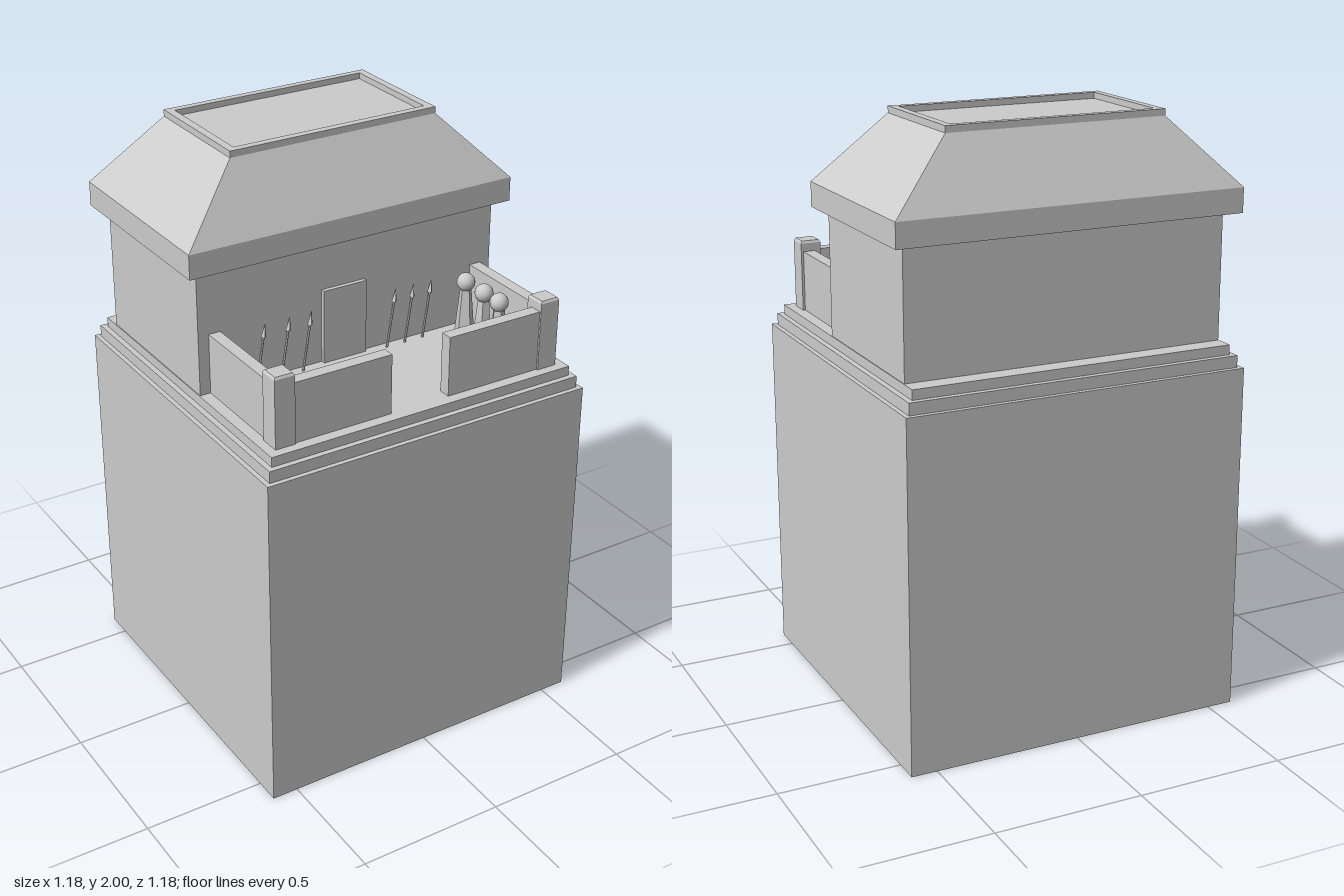
import * as THREE from 'three';

const material = new THREE.MeshStandardMaterial({ color: 0xcccccc, flatShading: true });
const shellMaterial = new THREE.MeshStandardMaterial({ color: 0xcccccc, flatShading: true, side: THREE.DoubleSide });

function add(parent, name, geometry, mat = material) {
  const mesh = new THREE.Mesh(geometry, mat);
  mesh.name = name;
  parent.add(mesh);
  return mesh;
}

// Box given by its limits on each axis
function box(parent, name, x0, x1, y0, y1, z0, z1) {
  const g = new THREE.BoxGeometry(x1 - x0, y1 - y0, z1 - z0);
  g.translate((x0 + x1) / 2, (y0 + y1) / 2, (z0 + z1) / 2);
  return add(parent, name, g);
}

// Skin over rectangular rings [y, x0, x1, z0, z1], closed at the last ring and optionally at the first
function rectLoft(rings, closeStart = true) {
  const pos = [], index = [];
  for (const [y, x0, x1, z0, z1] of rings) {
    pos.push(x0, y, z1, x1, y, z1, x1, y, z0, x0, y, z0);
  }
  for (let r = 0; r < rings.length - 1; r++) {
    for (let i = 0; i < 4; i++) {
      const a = r * 4 + i, b = r * 4 + (i + 1) % 4;
      index.push(a, b, b + 4, a, b + 4, a + 4);
    }
  }
  const t = (rings.length - 1) * 4;
  index.push(t, t + 1, t + 2, t, t + 2, t + 3);
  if (closeStart) index.push(2, 1, 0, 3, 2, 0);
  const g = new THREE.BufferGeometry();
  g.setAttribute('position', new THREE.Float32BufferAttribute(pos, 3));
  g.setIndex(index);
  const flat = g.toNonIndexed();
  flat.computeVertexNormals();
  return flat;
}

export function createModel() {
  const model = new THREE.Group();
  model.name = 'rooftopGuardhouse';

  // Tall hollow base, open below, with two nested steps on top
  const tiers = [['base', 0.588, 0, 1.18], ['lowerStep', 0.572, 0.09, 1.22], ['upperStep', 0.553, 0.145, 1.253]];
  for (const [name, h, y0, y1] of tiers) {
    add(model, name, rectLoft([[y0, -h, h, -h, h], [y1, -h, h, -h, h]], false), shellMaterial);
  }

  // House and door
  box(model, 'house', -0.55, 0.55, 1.25, 1.69, -0.49, 0.105);
  box(model, 'door', -0.105, 0.055, 1.25, 1.508, 0.1, 0.12);

  // Hipped roof with a shallow sunken top
  add(model, 'roof', rectLoft([
    [1.675, -0.592, 0.592, -0.54, 0.147],
    [1.757, -0.592, 0.592, -0.54, 0.147],
    [1.978, -0.375, 0.375, -0.413, 0.02],
    [2.0, -0.375, 0.375, -0.413, 0.02],
    [2.0, -0.348, 0.348, -0.388, -0.006],
    [1.98, -0.348, 0.348, -0.388, -0.006],
  ]));

  // Terrace walls and corner posts on both sides
  for (const s of [-1, 1]) {
    const span = (a, b) => (s > 0 ? [a, b] : [-b, -a]);
    box(model, 'frontWall', ...span(0.106, 0.49), 1.25, 1.457, 0.473, 0.515);
    box(model, 'sideWall', ...span(0.472, 0.513), 1.25, 1.457, 0.1, 0.49);
    const [p0, p1] = span(0.451, 0.521), c = 0.005;
    add(model, 'cornerPost', rectLoft([
      [1.25, p0, p1, 0.451, 0.521],
      [1.485, p0, p1, 0.451, 0.521],
      [1.493, p0 + c, p1 - c, 0.451 + c, 0.521 - c],
    ]));
  }

  // Spears leaning along the house wall
  for (const x of [-0.36, -0.27, -0.19, 0.13, 0.2, 0.27]) {
    const spear = new THREE.Group();
    spear.name = 'spear';
    const shaft = add(spear, 'shaft', new THREE.CylinderGeometry(0.004, 0.004, 0.16, 6));
    shaft.position.y = 0.08;
    const tip = add(spear, 'tip', new THREE.ConeGeometry(0.01, 0.045, 4));
    tip.position.y = 0.18;
    spear.position.set(x, 1.252, 0.13);
    spear.rotation.set(-0.06, 0, -0.2);
    model.add(spear);
  }

  // Row of round-headed practice figures beside the wall
  const smooth = new THREE.MeshStandardMaterial({ color: 0xcccccc });
  [0.2, 0.3, 0.382].forEach((z, i) => {
    const figure = new THREE.Group();
    figure.name = 'practiceFigure';
    const body = add(figure, 'body', new THREE.CylinderGeometry(0.018, 0.036, 0.19, 5));
    body.position.y = 0.095;
    const head = add(figure, 'head', new THREE.SphereGeometry(0.031, 14, 10), smooth);
    head.position.y = 0.2;
    figure.position.set(0.39, 1.252, z);
    figure.rotation.y = i * 0.5;
    model.add(figure);
  });

  return model;
}
